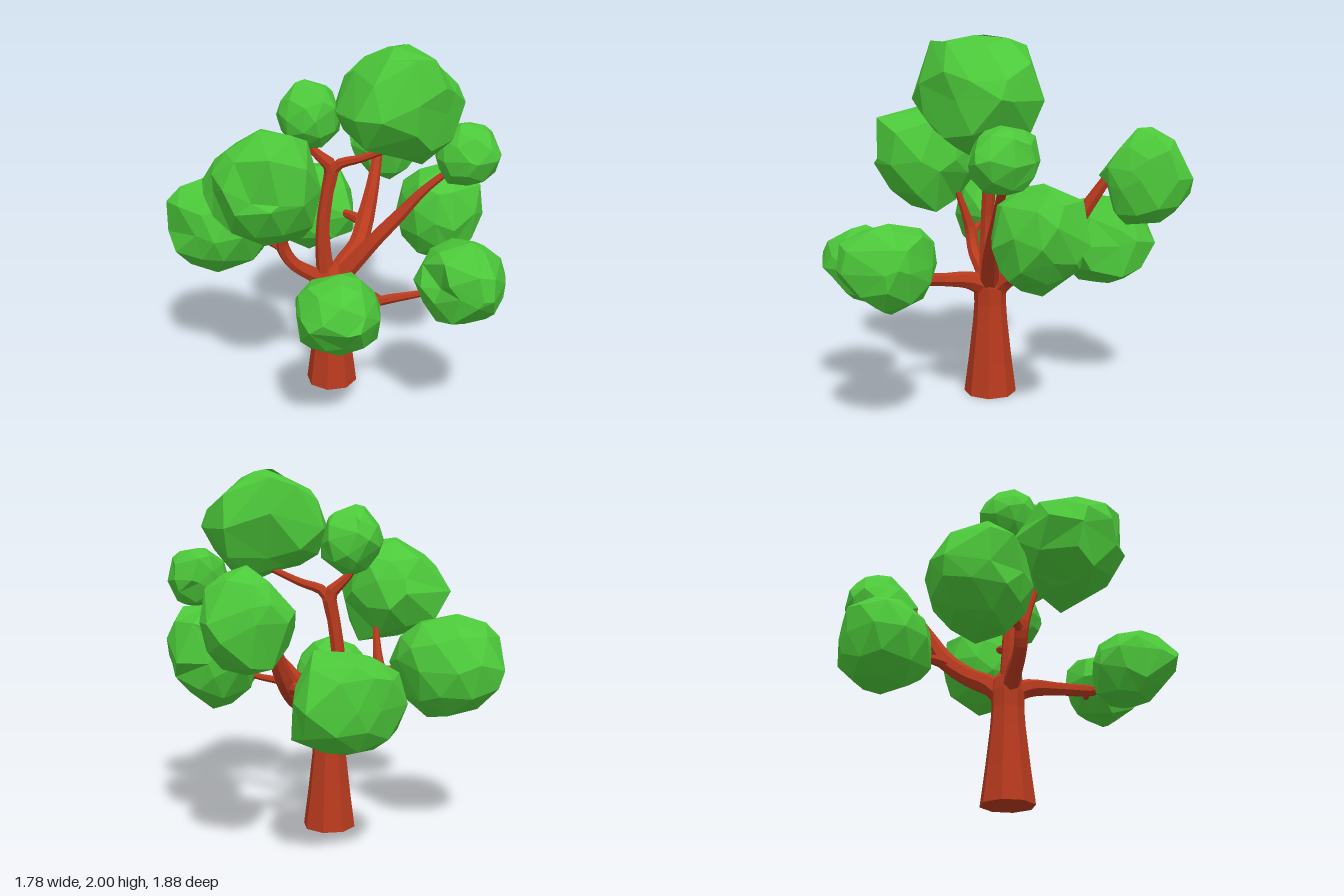
import * as THREE from 'three';
import { mergeVertices } from 'three/addons/utils/BufferGeometryUtils.js';

const bark = new THREE.MeshStandardMaterial({ color: 0xb83a1e, flatShading: true, side: THREE.DoubleSide });
const leaf = new THREE.MeshStandardMaterial({ color: 0x4cc83a, flatShading: true });

function seeded(seed) {
  let s = seed * 7919 + 17;
  return () => {
    s = (s * 16807) % 2147483647;
    return s / 2147483647;
  };
}

// Tapered tube through points given as [x, y, z, radius]
function limb(name, points) {
  const curve = new THREE.CatmullRomCurve3(points.map(p => new THREE.Vector3(p[0], p[1], p[2])));
  const steps = (points.length - 1) * 3, sides = 7;
  const geo = new THREE.TubeGeometry(curve, steps, 1, sides);
  const pos = geo.attributes.position, v = new THREE.Vector3();
  for (let i = 0; i < pos.count; i++) {
    const t = Math.floor(i / (sides + 1)) / steps;
    const k = curve.getUtoTmapping(t) * (points.length - 1);
    const a = Math.min(Math.floor(k), points.length - 2);
    const r = THREE.MathUtils.lerp(points[a][3], points[a + 1][3], k - a);
    const centre = curve.getPointAt(t);
    v.fromBufferAttribute(pos, i).sub(centre).multiplyScalar(r).add(centre);
    pos.setXYZ(i, v.x, v.y, v.z);
  }
  const mesh = new THREE.Mesh(geo, bark);
  mesh.name = name;
  return mesh;
}

// Faceted ball shaped by three outlines: front [x, y], side [z, y] and top [x, z]
function clump(name, seed, front, side, top) {
  const box = new THREE.Box3();
  const range = (axis, values) => {
    box.min[axis] = Math.min(...values);
    box.max[axis] = Math.max(...values);
  };
  range('x', [...front, ...top].map(p => p[0]));
  range('y', [...front, ...side].map(p => p[1]));
  range('z', [...side.map(p => p[0]), ...top.map(p => p[1])]);
  const c = box.getCenter(new THREE.Vector3()), half = box.getSize(new THREE.Vector3()).multiplyScalar(0.5);
  const guides = [
    ...front.map(p => new THREE.Vector3(p[0], p[1], c.z)),
    ...side.map(p => new THREE.Vector3(c.x, p[1], p[0])),
    ...top.map(p => new THREE.Vector3(p[0], c.y, p[1])),
  ].map(p => p.sub(c).divide(half));

  const rand = seeded(seed);
  const jitter = () => (rand() - 0.5) * 0.16;
  let geo = new THREE.IcosahedronGeometry(1, 1);
  geo.deleteAttribute('normal');
  geo.deleteAttribute('uv');
  geo = mergeVertices(geo, 1e-3);
  geo.rotateX(rand() * 6).rotateY(rand() * 6);
  const pos = geo.attributes.position;
  const corners = Array.from({ length: pos.count }, (_, i) => new THREE.Vector3().fromBufferAttribute(pos, i));

  // Each outline point claims the closest free corner
  const claimed = new Map();
  for (const g of guides) {
    let best = -1, reach = 0.42;
    corners.forEach((p, i) => {
      if (!claimed.has(i) && p.angleTo(g) < reach) {
        best = i;
        reach = p.angleTo(g);
      }
    });
    if (best >= 0) claimed.set(best, g);
  }
  corners.forEach((p, i) => {
    if (claimed.has(i)) {
      p.copy(claimed.get(i));
    } else {
      // Free corners follow the reach of nearby outline points
      p.set(p.x + jitter(), p.y + jitter(), p.z + jitter()).normalize();
      let sum = 1, weight = 1;
      for (const g of guides) {
        const w = 1 / (p.angleTo(g) ** 2 + 0.02) ** 2;
        sum += w * g.length();
        weight += w;
      }
      p.multiplyScalar(sum / weight + jitter() * 0.5);
    }
    p.multiply(half).add(c).clamp(box.min, box.max);
    pos.setXYZ(i, p.x, p.y, p.z);
  });
  geo.computeVertexNormals();
  const mesh = new THREE.Mesh(geo, leaf);
  mesh.name = name;
  return mesh;
}

export function createModel() {
  const tree = new THREE.Group();
  tree.name = 'tree';

  // Flared eight-sided trunk with a closed base and a crown where the limbs meet
  const profile = [[0, 0], [0.148, 0], [0.122, 0.2], [0.097, 0.42], [0.09, 0.52], [0.092, 0.62], [0.082, 0.69], [0.045, 0.74], [0, 0.75]];
  const trunkGeo = new THREE.LatheGeometry(profile.map(p => new THREE.Vector2(...p)), 8);
  trunkGeo.rotateY(Math.PI / 8);
  const trunk = new THREE.Mesh(trunkGeo, bark);
  trunk.position.set(0.004, 0, -0.02);
  trunk.name = 'trunk';
  tree.add(trunk);

  // Five main limbs, each forking into two boughs
  const limbs = {
    frontLimb: [[0, 0.6, -0.02, 0.065], [0.02, 0.66, 0.1, 0.052], [0.07, 0.69, 0.27, 0.037], [0.14, 0.72, 0.46, 0.035], [0.1, 0.71, 0.51, 0.025], [0, 0.71, 0.57, 0.017]],
    frontLeftBough: [[0.12, 0.71, 0.45, 0.027], [0.2, 0.74, 0.485, 0.026], [0.35, 0.77, 0.52, 0.019], [0.5, 0.81, 0.56, 0.015]],
    backLimb: [[0, 0.58, -0.03, 0.065], [0.08, 0.68, -0.1, 0.06], [0.2, 0.77, -0.2, 0.055], [0.275, 0.88, -0.32, 0.055], [0.34, 1.04, -0.41, 0.042], [0.41, 1.25, -0.53, 0.028]],
    backBough: [[0.27, 0.85, -0.3, 0.038], [0.24, 0.87, -0.36, 0.034], [0.18, 0.87, -0.48, 0.024], [0.13, 0.87, -0.56, 0.018]],
    upperLimb: [[-0.01, 0.58, -0.02, 0.06], [-0.04, 0.78, -0.02, 0.048], [-0.045, 0.98, -0.02, 0.039], [-0.02, 1.18, -0.02, 0.037], [0, 1.32, -0.02, 0.042], [-0.08, 1.4, -0.03, 0.026], [-0.16, 1.5, -0.04, 0.017]],
    crownBough: [[0, 1.28, -0.02, 0.033], [0.04, 1.34, 0, 0.03], [0.15, 1.38, 0.05, 0.023], [0.3, 1.45, 0.12, 0.018]],
    rightLimb: [[0, 0.6, -0.02, 0.055], [-0.11, 0.69, -0.01, 0.044], [-0.22, 0.77, 0, 0.037], [-0.28, 0.88, 0, 0.037], [-0.28, 0.98, 0.03, 0.026], [-0.28, 1.12, 0.08, 0.017]],
    rightBough: [[-0.27, 0.86, 0, 0.028], [-0.32, 0.89, -0.04, 0.025], [-0.42, 0.905, -0.12, 0.019], [-0.48, 0.91, -0.17, 0.015]],
    leftLimb: [[0, 0.6, -0.02, 0.06], [0.11, 0.74, 0.02, 0.05], [0.24, 0.9, 0.05, 0.043], [0.36, 1.03, 0.07, 0.038], [0.5, 1.19, 0.1, 0.025], [0.66, 1.33, 0.14, 0.017]],
    leftBough: [[0.33, 1, 0.06, 0.03], [0.4, 1.05, 0.03, 0.027], [0.47, 1.06, 0, 0.021], [0.57, 1.06, -0.03, 0.017]],
  };
  for (const [name, points] of Object.entries(limbs)) tree.add(limb(name, points));

  // Foliage clumps
  tree.add(
    clump('crownFoliage', 3,
      [[0.29, 2], [0.47, 1.95], [0.69, 1.69], [0.62, 1.56], [0.46, 1.36], [0.27, 1.44], [-0.02, 1.67], [0.08, 1.89]],
      [[0.41, 1.97], [0.13, 2], [-0.1, 1.95], [-0.13, 1.76], [-0.02, 1.52], [0.47, 1.76], [0.45, 1.6]],
      [[0.04, -0.07], [0.35, -0.14], [0.58, -0.1], [0.67, 0.1], [0.53, 0.34], [0.15, 0.46], [0.03, 0.38], [-0.02, 0.17]]),
    clump('upperFoliage', 4,
      [[-0.14, 1.81], [0.01, 1.74], [0.05, 1.52], [-0.07, 1.43], [-0.27, 1.54], [-0.27, 1.7]],
      [[-0.14, 1.75], [-0.21, 1.66], [-0.18, 1.5]],
      [[-0.18, -0.21], [0.03, -0.15], [0.04, 0.04], [-0.12, 0.14], [-0.26, 0.07], [-0.29, -0.07]]),
    clump('rightFrontFoliage', 5,
      [[-0.43, 1.62], [-0.18, 1.55], [-0.13, 1.26], [-0.21, 1.02], [-0.49, 1.06], [-0.72, 1.3], [-0.6, 1.52]],
      [[0.52, 1.55], [0.54, 1.29], [0.32, 1.03], [0.14, 1.06], [-0.03, 1.4]],
      [[-0.42, -0.08], [-0.15, 0.13], [-0.13, 0.34], [-0.38, 0.53], [-0.51, 0.47], [-0.67, 0.24], [-0.71, 0.05]]),
    clump('rightBackFoliage', 6,
      [[-0.65, 1.23], [-0.81, 1.18], [-0.89, 1.1], [-0.89, 0.92], [-0.7, 0.69], [-0.49, 0.67], [-0.32, 0.99]],
      [[-0.29, 1.23], [-0.47, 1.13], [-0.29, 0.67]],
      [[-0.58, -0.55], [-0.4, -0.44], [-0.32, -0.1], [-0.5, -0.01], [-0.75, -0.09], [-0.9, -0.25], [-0.85, -0.49]]),
    clump('frontRightFoliage', 7,
      [[-0.11, 0.99], [0.1, 0.8], [0.09, 0.61], [-0.07, 0.56], [-0.31, 0.64], [-0.33, 0.8], [-0.27, 0.93]],
      [[0.44, 0.6], [0.61, 0.56], [0.8, 0.65]],
      [[-0.15, 0.42], [0.04, 0.48], [0.1, 0.6], [0.07, 0.78], [-0.06, 0.9], [-0.3, 0.84], [-0.34, 0.63]]),
    clump('frontLeftFoliage', 8,
      [[0.56, 1.11], [0.72, 1.01], [0.75, 0.92], [0.59, 0.67], [0.39, 0.69], [0.3, 0.89], [0.39, 1.07]],
      [[0.72, 1.12], [0.52, 1.07], [0.44, 0.89], [0.75, 0.69], [0.93, 0.86], [0.92, 1.02]],
      [[0.62, 0.49], [0.73, 0.63], [0.73, 0.75], [0.54, 0.94], [0.44, 0.88], [0.39, 0.74], [0.29, 0.6], [0.35, 0.51]]),
    clump('leftUpperFoliage', 9,
      [[0.67, 1.57], [0.85, 1.52], [0.88, 1.39], [0.83, 1.28], [0.61, 1.24], [0.54, 1.39]],
      [[0.16, 1.57], [0, 1.52], [0, 1.39], [0.14, 1.24], [0.34, 1.39]],
      [[0.75, -0.01], [0.84, 0.05], [0.87, 0.19], [0.82, 0.34], [0.67, 0.33]]),
    clump('leftFoliage', 10,
      [[0.8, 1.27], [0.89, 1.1], [0.85, 0.92], [0.77, 0.8]],
      [[-0.07, 1.28], [-0.28, 1.18], [-0.28, 0.92], [-0.07, 0.71], [0.16, 0.86], [0.2, 0.97], [0.15, 1.18]],
      [[0.68, -0.29], [0.84, -0.24], [0.88, 0.03], [0.49, -0.27], [0.41, -0.13]]),
    clump('backFoliage', 11,
      [[-0.01, 1.1], [0.19, 1.12], [0.28, 0.94], [0.3, 0.68], [0.14, 0.61]],
      [[-0.89, 1.07], [-0.94, 0.86], [-0.68, 0.59], [-0.44, 0.73], [-0.45, 0.94]],
      [[0.08, -0.95], [0.26, -0.92], [0.29, -0.68], [0.23, -0.45], [-0.12, -0.48], [-0.26, -0.77], [-0.1, -0.9]]),
    clump('backLeftFoliage', 12,
      [[0.28, 1.23], [0.38, 1.39]],
      [[-0.74, 1.53], [-0.91, 1.35], [-0.89, 1.07], [-0.6, 1.02], [-0.5, 1.23], [-0.55, 1.42]],
      [[0.48, -0.92], [0.7, -0.88], [0.73, -0.78], [0.65, -0.6], [0.4, -0.49], [0.28, -0.7], [0.33, -0.88]]),
  );

  return tree;
}
